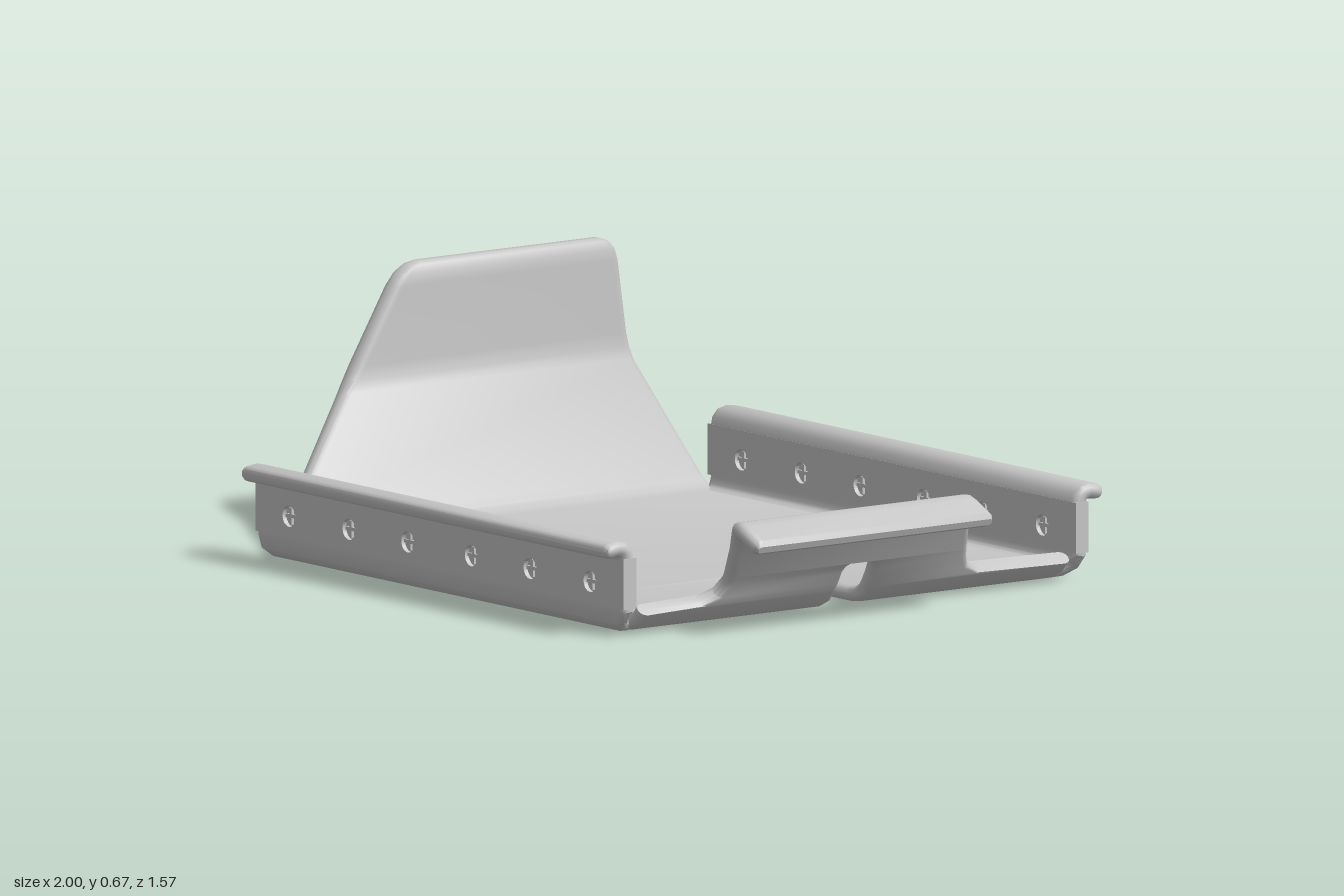
import * as THREE from 'three';
import { toCreasedNormals } from 'three/addons/utils/BufferGeometryUtils.js';

// Give each station [u, y, spanFrom, spanTo, thickness] its mitred path normal
function frames(path) {
  const dir = (p, q) => new THREE.Vector2(q[0] - p[0], q[1] - p[1]).normalize();
  return path.map((p, i) => {
    const before = dir(path[Math.max(i - 1, 0)], path[Math.max(i, 1)]);
    const after = i < path.length - 1 ? dir(p, path[i + 1]) : before;
    const t = before.clone().add(after).normalize();
    const k = 1 / Math.max(t.dot(after), 0.7);
    return { u: p[0], y: p[1], nu: -t.y * k, ny: t.x * k, a: p[2], b: p[3], h: p[4] / 2 };
  });
}

// Loft a bent sheet with rounded side edges through the stations
function sheet(stations, place) {
  const arc = 6, n = 2 * (arc + 1), pos = [], index = [];
  for (const s of stations) {
    for (let j = 0; j < n; j++) {
      const k = j <= arc ? j : j - 1;
      const th = Math.PI / 2 + (k * Math.PI) / arc;
      const w = (j <= arc ? s.a + s.h : s.b - s.h) + s.h * Math.cos(th);
      const d = s.h * Math.sin(th);
      pos.push(...place(s.u + s.nu * d, s.y + s.ny * d, w));
    }
  }
  for (let i = 0; i < stations.length - 1; i++) {
    for (let j = 0; j < n; j++) {
      const a = i * n + j, b = i * n + (j + 1) % n;
      index.push(a, b, a + n, b, b + n, a + n);
    }
  }
  const last = (stations.length - 1) * n;
  for (let j = 1; j < n - 1; j++) {
    index.push(0, j + 1, j, last, last + j, last + j + 1);
  }
  // Turn the faces outward whichever way the path runs
  const at = i => new THREE.Vector3().fromArray(pos, i * 3);
  let volume = 0;
  for (let i = 0; i < index.length; i += 3) {
    volume += at(index[i]).dot(at(index[i + 1]).cross(at(index[i + 2])));
  }
  if (volume < 0) index.reverse();
  const g = new THREE.BufferGeometry();
  g.setAttribute('position', new THREE.Float32BufferAttribute(pos, 3));
  g.setIndex(index);
  return toCreasedNormals(g, 0.7);
}

export function createModel() {
  const model = new THREE.Group();
  model.name = 'bentMetalTray';
  const steel = new THREE.MeshStandardMaterial({ color: 0xc6c6c6 });
  steel.name = 'greySteel';
  const add = (parent, geometry, name) => {
    const m = new THREE.Mesh(geometry, steel);
    m.name = name;
    parent.add(m);
    return m;
  };

  // Tall flap, its fold and the floor up to the slot
  const flap = [
    [-0.971, 0.668, -0.5, 0.08, 0.02],
    [-0.971, 0.66, -0.525, 0.11, 0.045],
    [-0.971, 0.64, -0.545, 0.14, 0.058],
    [-0.971, 0.61, -0.555, 0.165, 0.058],
    [-0.971, 0.42, -0.582, 0.28, 0.058],
    [-0.969, 0.38, -0.59, 0.305, 0.058],
    [-0.958, 0.345, -0.597, 0.335, 0.056],
    [-0.8, 0.065, -0.69, 0.63, 0.05],
    [-0.784, 0.042, -0.7, 0.67, 0.046],
    [-0.76, 0.025, -0.7, 0.7, 0.042],
    [-0.72, 0.02, -0.69, 0.69, 0.04],
  ];
  // Floor and fold beside the slot; the last two values are the slot edges
  const slotted = [
    [0.37, 0.02, -0.68, 0.68, 0.04, -0.02, 0.025],
    [0.377, 0.02, -0.68, 0.68, 0.04, -0.038, 0.04],
    [0.392, 0.02, -0.68, 0.68, 0.04, -0.045, 0.047],
    [0.66, 0.02, -0.68, 0.68, 0.04, -0.043, 0.05],
    [0.7, 0.025, -0.68, 0.68, 0.04, -0.04, 0.053],
    [0.73, 0.039, -0.68, 0.68, 0.04, -0.035, 0.056],
    [0.752, 0.062, -0.68, 0.68, 0.04, -0.031, 0.06],
    [0.756, 0.068, -0.39, 0.5, 0.042, -0.03, 0.06],
    [0.77, 0.087, -0.345, 0.455, 0.044, -0.028, 0.062],
    [0.79, 0.117, -0.325, 0.44, 0.044, -0.022, 0.066],
    [0.8, 0.132, -0.318, 0.441, 0.044, -0.012, 0.06],
    [0.806, 0.141, -0.314, 0.443, 0.044, 0.01, 0.045],
  ];
  // Upper part of the low tab with its turned-down lip
  const lip = [
    [0.85, 0.206, -0.288, 0.46, 0.044],
    [0.878, 0.247, -0.273, 0.476, 0.044],
    [0.893, 0.262, -0.263, 0.487, 0.044],
    [0.91, 0.265, -0.26, 0.49, 0.044],
    [0.928, 0.258, -0.262, 0.491, 0.044],
    [0.985, 0.232, -0.262, 0.491, 0.042],
    [0.996, 0.227, -0.255, 0.484, 0.018],
  ];
  const all = frames([...flap, ...slotted, ...lip]);
  const i0 = flap.length, i1 = i0 + slotted.length;
  const alongX = (u, y, w) => [u, y, w];
  const beside = all.slice(i0, i1);
  add(model, sheet(all.slice(0, i0 + 1), alongX), 'floorAndTallFlap');
  add(model, sheet(beside.map((s, i) => ({ ...s, b: slotted[i][5] })), alongX), 'floorBehindSlot');
  add(model, sheet(beside.map((s, i) => ({ ...s, a: slotted[i][6] })), alongX), 'floorBeforeSlot');
  add(model, sheet(all.slice(i1 - 1), alongX), 'lowTabLip');

  // Side rails: rounded lower bend, drilled wall, outward hook
  const bend = frames([
    [0.66, 0.02, -0.76, 0.7, 0.04],
    [0.69, 0.024, -0.765, 0.72, 0.04],
    [0.708, 0.038, -0.77, 0.745, 0.04],
    [0.715, 0.062, -0.77, 0.765, 0.04],
    [0.715, 0.075, -0.77, 0.765, 0.04],
  ]);
  const hook = frames([
    [0.715, 0.195, -0.77, 0.765, 0.04],
    [0.718, 0.21, -0.77, 0.765, 0.04],
    [0.728, 0.221, -0.77, 0.765, 0.04],
    [0.745, 0.225, -0.77, 0.765, 0.04],
    [0.77, 0.221, -0.77, 0.765, 0.04],
    [0.78, 0.219, -0.767, 0.762, 0.032],
    [0.785, 0.218, -0.76, 0.755, 0.016],
  ]);
  const screwX = [-0.63, -0.38, -0.135, 0.13, 0.375, 0.625], screwY = 0.125;
  const wall = new THREE.Shape([
    [-0.77, 0.07], [0.765, 0.07], [0.765, 0.2], [-0.77, 0.2],
  ].map(p => new THREE.Vector2(...p)));
  for (const x of screwX) {
    wall.holes.push(new THREE.Path().absarc(x, screwY, 0.027, 0, Math.PI * 2, true));
  }
  const wallGeo = new THREE.ExtrudeGeometry(wall, { depth: 0.04, bevelEnabled: false, curveSegments: 16 });
  wallGeo.translate(0, 0, -0.02);
  const plugGeo = new THREE.CylinderGeometry(0.028, 0.028, 0.016, 20).rotateX(Math.PI / 2);
  const barGeo = new THREE.BoxGeometry(0.009, 0.044, 0.03);

  for (const side of [1, -1]) {
    const rail = new THREE.Group();
    rail.name = side > 0 ? 'frontRail' : 'backRail';
    model.add(rail);
    const alongZ = (u, y, w) => [w, y, side * u];
    add(rail, sheet(bend, alongZ), 'railBend');
    add(rail, sheet(hook, alongZ), 'railHook');
    add(rail, wallGeo, 'railWall').position.z = side * 0.715;
    // Recessed cross-head fasteners
    for (const x of screwX) {
      const screw = new THREE.Group();
      screw.name = 'fastener';
      screw.position.set(x, screwY, side * 0.715);
      add(screw, plugGeo, 'fastenerDisc');
      add(screw, barGeo, 'fastenerBar');
      add(screw, barGeo, 'fastenerBar').rotation.z = Math.PI / 2;
      rail.add(screw);
    }
  }
  return model;
}
